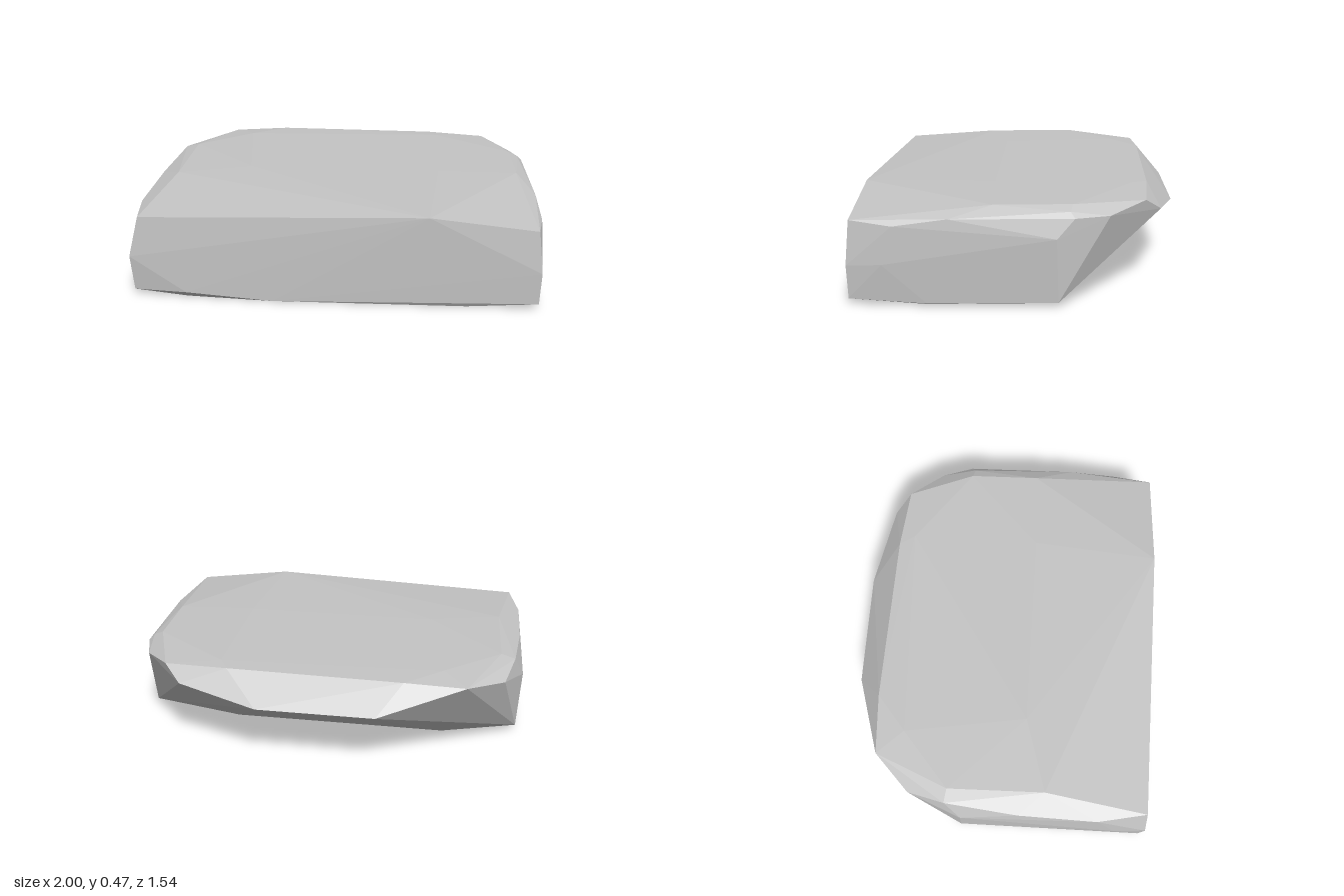
import * as THREE from 'three';
import { ConvexGeometry } from 'three/addons/geometries/ConvexGeometry.js';

export function createModel() {
  const stone = new THREE.MeshStandardMaterial({ color: 0xc4c4c4 });
  stone.name = 'stone grey';

  // Corner rings of the chipped slab, as [x, y, z]
  const underside = [
    [-0.72, 0, 0.745], [-0.3, 0, 0.77], [0.64, 0, 0.75], [0.96, 0, 0.4],
    [0.5, 0, -0.27], [-0.6, 0, -0.27], [-0.96, 0, 0.4],
  ];
  const lowerRim = [
    [-0.98, 0.03, 0.75], [-0.72, 0.03, 0.77], [0.98, 0.03, 0.76],
    [0.99, 0.015, 0.4], [0.985, 0.025, -0.2], [-0.985, 0.03, -0.2],
  ];
  const waist = [
    [-0.99, 0.21, 0.765], [0.985, 0.19, 0.765], [1, 0.2, 0.6], [1, 0.33, -0.19],
    [-1, 0.2, 0.6], [-1, 0.33, -0.19],
  ];
  const backRidge = [
    [0.975, 0.42, -0.27], [0.92, 0.42, -0.43], [0.68, 0.39, -0.68], [0.28, 0.33, -0.775],
    [-0.3, 0.33, -0.775], [-0.72, 0.45, -0.635], [-0.9, 0.41, -0.46],
  ];
  const upperRim = [
    [-0.94, 0.41, 0.75], [0.45, 0.457, 0.77], [0.96, 0.398, 0.75],
    [0.995, 0.38, 0.55], [0.99, 0.415, 0.3], [-0.99, 0.4, 0.5], [-0.985, 0.42, 0.1],
    [-0.95, 0.45, -0.27], [0.95, 0.445, -0.25],
  ];
  const crown = [
    [-0.87, 0.463, 0.23], [0.91, 0.463, 0.1], [0.9, 0.467, -0.26], [-0.88, 0.467, -0.26],
    [-0.42, 0.465, -0.65], [0.45, 0.466, -0.63], [0.77, 0.455, -0.6],
    [0.5, 0.47, -0.55], [-0.6, 0.47, -0.5], [0.5, 0.47, 0.12], [-0.5, 0.47, 0.12],
  ];

  // The hull of the rings gives flat, faceted faces
  const points = [underside, lowerRim, waist, backRidge, upperRim, crown]
    .flat()
    .map((p) => new THREE.Vector3(...p));
  const slab = new THREE.Mesh(new ConvexGeometry(points), stone);
  slab.name = 'stoneSlab';

  const group = new THREE.Group();
  group.name = 'flatRock';
  group.add(slab);
  return group;
}
